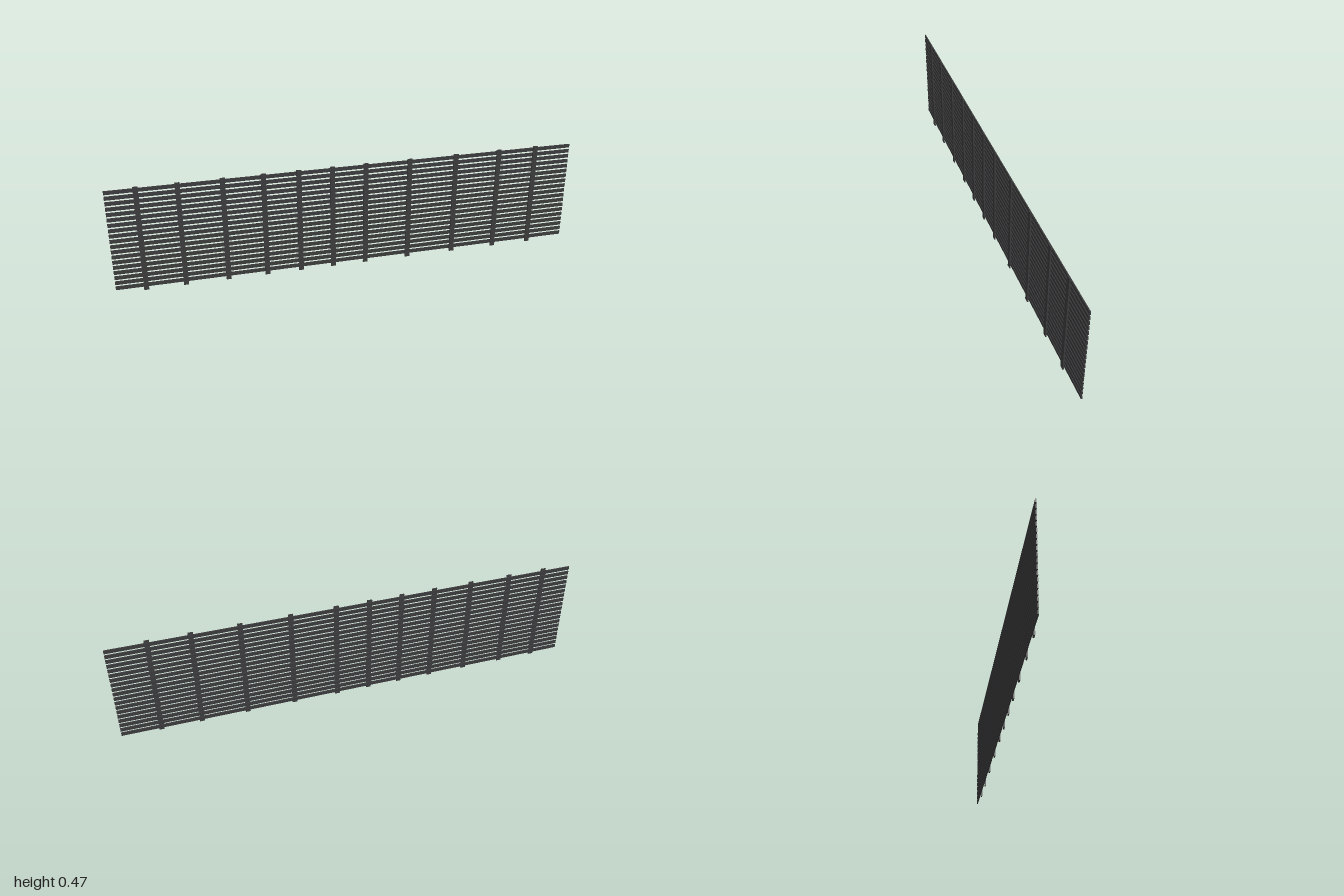
import * as THREE from 'three';

export function createModel() {
  const group = new THREE.Group();
  const dark = new THREE.MeshStandardMaterial({ color: 0x3a3a3c });

  const addBox = (name, size, position) => {
    const mesh = new THREE.Mesh(new THREE.BoxGeometry(...size), dark);
    mesh.name = name;
    mesh.position.set(...position);
    group.add(mesh);
  };

  // Evenly spaced horizontal slats along the back
  const slatCount = 19, firstY = 0.021, pitch = 0.0238;
  for (let i = 0; i < slatCount; i++) {
    addBox(`slat${i + 1}`, [2, 0.0155, 0.005], [0, firstY + i * pitch, -0.0025]);
  }

  // Unevenly spaced upright battens across the front
  const battenX = [-0.877, -0.714, -0.535, -0.369, -0.222, -0.08, 0.064, 0.257, 0.465, 0.663, 0.834];
  battenX.forEach((x, i) => {
    addBox(`batten${i + 1}`, [0.021, 0.465, 0.0055], [x, 0.2325, 0.00275]);
  });

  return group;
}
